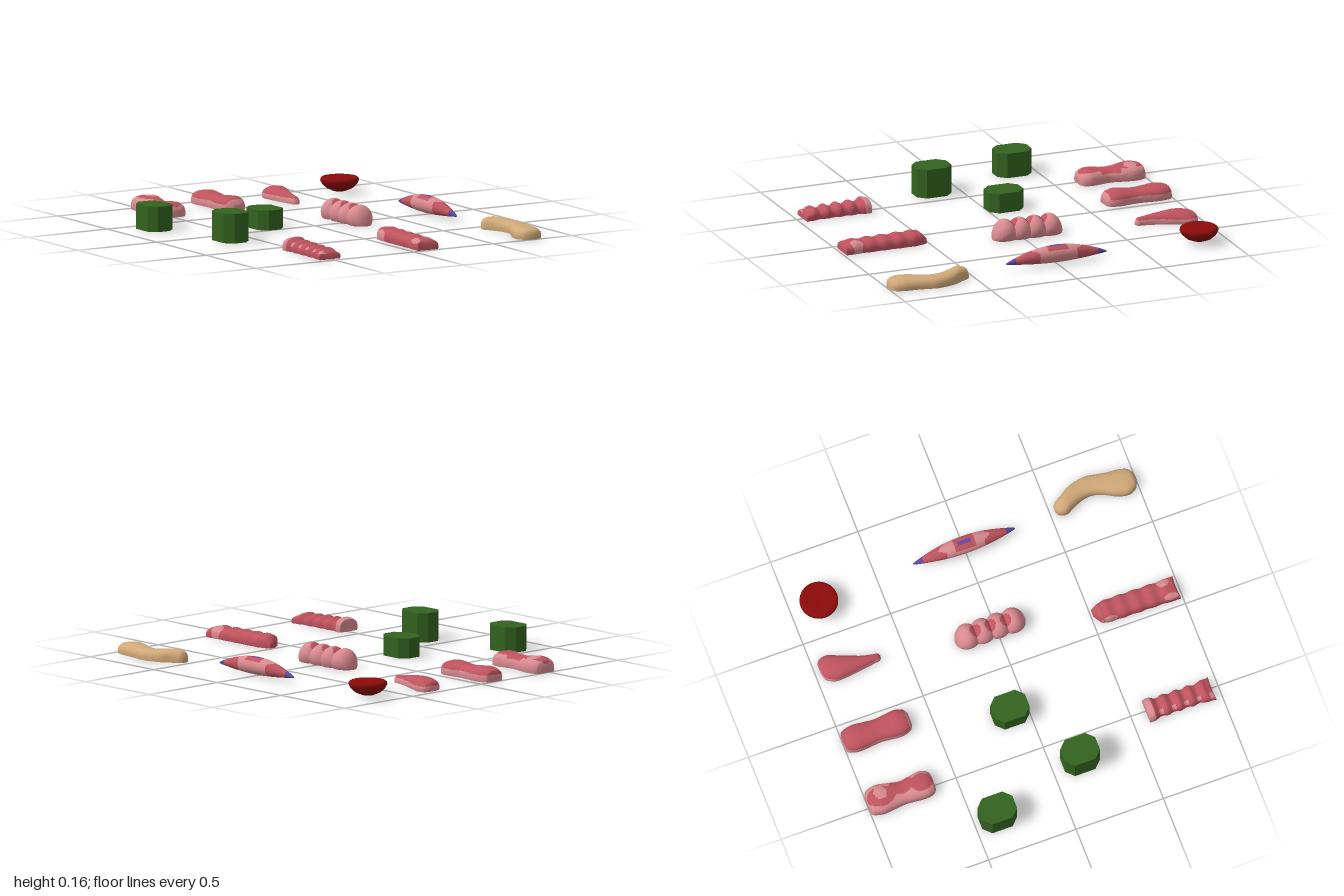
import * as THREE from 'three';
import { toCreasedNormals } from 'three/addons/utils/BufferGeometryUtils.js';

const mat = (name, color, side = THREE.FrontSide) => {
  const m = new THREE.MeshStandardMaterial({ color, side });
  m.name = name;
  return m;
};

// Lofts a body along z. Each section is [z, xCentre, halfWidth, height, baseY].
// cut: how far the outline wraps under the body; power: squareness of the outline;
// tail: pulls the corners of the far end out; paint(p): picks a material per face.
function loft(sections, { cut = 0.3, power = 2.6, tail = 0, steps = 72, around = 28, paint = () => 0 } = {}) {
  const place = new THREE.CatmullRomCurve3(
    sections.map(([z, x, w]) => new THREE.Vector3(x, w, z)), false, 'catmullrom');
  const rise = new THREE.CatmullRomCurve3(
    sections.map(([, , , h, b = 0]) => new THREE.Vector3(h, b, 0)), false, 'catmullrom');
  const bend = v => Math.sign(v) * Math.pow(Math.abs(v), 2 / power);
  const low = bend(Math.sin(cut));
  const rings = [];
  for (let i = 0; i <= steps; i++) {
    const t = i / steps, a = place.getPoint(t), b = rise.getPoint(t), ring = [];
    for (let j = 0; j <= around; j++) {
      const angle = -cut + (Math.PI + 2 * cut) * j / around;
      const c = bend(Math.cos(angle)), s = bend(Math.sin(angle));
      ring.push(new THREE.Vector3(
        a.x + a.y * c,
        b.y + b.x * (s + low) / (1 + low),
        a.z + tail * c * c * Math.pow(t, 10)));
    }
    rings.push(ring);
  }
  const lists = [[], [], []];
  const face = (p, q, r) => {
    const mid = new THREE.Vector3().add(p).add(q).add(r).divideScalar(3);
    const list = lists[paint(mid)];
    for (const v of [p, q, r]) list.push(v.x, v.y, v.z);
  };
  const n = around + 1;
  for (let i = 0; i < steps; i++) {
    for (let j = 0; j < n; j++) {
      const k = (j + 1) % n, A = rings[i], B = rings[i + 1];
      face(A[j], A[k], B[j]);
      face(A[k], B[k], B[j]);
    }
  }
  // end caps
  for (const [ring, flip] of [[rings[0], true], [rings[steps], false]]) {
    const centre = ring.reduce((s, v) => s.add(v), new THREE.Vector3()).divideScalar(n);
    for (let j = 0; j < n; j++) {
      const k = (j + 1) % n;
      face(centre, ring[flip ? k : j], ring[flip ? j : k]);
    }
  }
  let geo = new THREE.BufferGeometry();
  geo.setAttribute('position', new THREE.Float32BufferAttribute(lists.flat(), 3));
  geo = toCreasedNormals(geo, 0.9);
  let start = 0;
  lists.forEach((list, m) => {
    if (list.length) geo.addGroup(start, list.length / 3, m);
    start += list.length / 3;
  });
  return geo;
}

export function createModel() {
  const model = new THREE.Group();
  const dark = mat('deepPink', 0xbf535e), light = mat('palePink', 0xd98a8f);
  const purple = mat('purple', 0x6147a0), green = mat('green', 0x33621f);
  const red = mat('darkRed', 0x8c0a0a), tan = mat('tan', 0xd0a878);
  const pinks = [dark, light, purple];
  const add = (name, geo, material) => {
    const mesh = new THREE.Mesh(geo, material);
    mesh.name = name;
    model.add(mesh);
    return mesh;
  };
  const inSpot = (p, x, z, rx, rz) => ((p.x - x) / rx) ** 2 + ((p.z - z) / rz) ** 2 < 1;

  // green eight-sided blocks
  for (const [x, z, h] of [[-0.785, -0.37, 0.137], [-0.255, -0.1, 0.108], [-0.635, 0.16, 0.16]]) {
    const a = 0.079, b = 0.1, c = 0.042;
    const shape = new THREE.Shape([[a, c - b], [a, b - c], [a - c, b], [c - a, b],
      [-a, b - c], [-a, c - b], [c - a, -b], [a - c, -b]].map(p => new THREE.Vector2(...p)));
    const geo = new THREE.ExtrudeGeometry(shape, { depth: h, bevelEnabled: false });
    add('greenBlock', geo.rotateX(-Math.PI / 2).translate(x, 0, z), green);
  }

  // two lobed pieces
  add('patchedLobedPiece', loft([
    [-1, -0.48, 0.045, 0.045], [-0.985, -0.48, 0.068, 0.068], [-0.93, -0.48, 0.082, 0.08],
    [-0.87, -0.482, 0.074, 0.074], [-0.8, -0.485, 0.064, 0.066], [-0.74, -0.484, 0.07, 0.072],
    [-0.68, -0.482, 0.076, 0.076], [-0.64, -0.483, 0.064, 0.064], [-0.625, -0.483, 0.045, 0.045]],
  { paint: p => {
    if (p.y < 0.05 || inSpot(p, -0.46, -0.92, 0.04, 0.035)) return 1;
    return inSpot(p, -0.48, -0.92, 0.055, 0.08) || inSpot(p, -0.455, -0.8, 0.05, 0.07) ||
      inSpot(p, -0.48, -0.69, 0.05, 0.06) ? 0 : 1;
  } }), pinks);
  add('plainLobedPiece', loft([
    [-0.998, -0.107, 0.04, 0.04], [-0.985, -0.107, 0.06, 0.062], [-0.93, -0.107, 0.074, 0.074],
    [-0.87, -0.107, 0.07, 0.07], [-0.8, -0.107, 0.064, 0.065], [-0.74, -0.107, 0.07, 0.07],
    [-0.68, -0.106, 0.074, 0.075], [-0.635, -0.106, 0.06, 0.062], [-0.618, -0.106, 0.04, 0.04]],
  { paint: p => (p.y < 0.038 || p.z > -0.635 ? 1 : 0) }), pinks);

  // tapering drumstick
  add('taperedPiece', loft([
    [-0.97, 0.335, 0.03, 0.03], [-0.955, 0.323, 0.06, 0.05], [-0.91, 0.315, 0.076, 0.062],
    [-0.86, 0.305, 0.067, 0.065], [-0.8, 0.297, 0.052, 0.06], [-0.74, 0.289, 0.036, 0.052],
    [-0.68, 0.287, 0.024, 0.044], [-0.65, 0.287, 0.021, 0.038], [-0.638, 0.287, 0.01, 0.02]],
  { power: 2.2, paint: p => (p.y < 0.03 ? 1 : 0) }), pinks);

  // shallow red dish
  const dish = [[0, 0.008], [0.035, 0.012], [0.07, 0.027], [0.093, 0.048], [0.104, 0.068],
    [0.103, 0.08], [0.095, 0.087], [0.08, 0.088], [0.05, 0.084], [0, 0.081]];
  add('redDish', new THREE.LatheGeometry(dish.map(p => new THREE.Vector2(...p)), 40)
    .translate(0.682, 0, -0.842), red);

  // four joined beads
  const beads = [];
  for (let i = 0; i <= 64; i++) {
    const z = -0.234 + 0.398 * i / 64;
    let r = 0.012;
    for (let k = 0; k < 4; k++) {
      r = Math.max(r, Math.sqrt(Math.max(0, 0.0049 - (z + 0.165 - 0.0867 * k) ** 2)));
    }
    beads.push([z, 0.222, r, r * 1.55, 0]);
  }
  add('beadedPiece', loft(beads, { cut: 0.6, power: 2, steps: 96, paint: p =>
    (p.y > 0.06 && [-0.12, -0.034, 0.053].some(z => inSpot(p, 0.222, z, 0.035, 0.03)) ? 0 : 1) }), pinks);

  // pointed spindle with purple tips
  add('spindle', loft([-1, -0.92, -0.8, -0.6, -0.4, -0.2, 0, 0.2, 0.4, 0.6, 0.8, 0.92, 1].map(u => {
    const r = 0.004 + 0.044 * Math.pow(Math.cos(u * Math.PI / 2), 0.9);
    return [u * 0.29, 0.712, r, r * 2, 0.055 - 0.024 * u * u - r];
  }), { cut: Math.PI / 2, power: 2, steps: 84, paint: p => {
    const z = Math.abs(p.z), x = Math.abs(p.x - 0.712);
    if (z > 0.24 || (z < 0.036 && x < 0.012 && p.y > 0.07)) return 2;
    if (p.y > 0.082 && z < 0.06) return 0;
    return z < 0.125 + 0.02 * Math.sin(p.x * 90) ? 1 : 0;
  } }), pinks);

  // ribbed pieces with a flared end
  const ribbed = (z0, z1, x, width, height, ribs, depth) => {
    const list = [];
    for (let i = 0; i <= ribs * 6; i++) {
      const t = i / (ribs * 6), wave = -Math.cos(t * ribs * Math.PI * 2);
      list.push([z0 + (z1 - z0) * t, x(t), width(t) + depth * 0.5 * wave, height(t) + depth * wave]);
    }
    return list;
  };
  add('ribbedPiece', loft(ribbed(0.585, 0.945, () => -0.508,
    t => 0.054 + 0.013 * Math.exp(-((t / 0.1) ** 2)) + 0.017 * Math.pow(t, 14),
    t => 0.062 + 0.012 * Math.exp(-((t / 0.1) ** 2)) - 0.012 * t, 5, 0.008),
  { tail: 0.018, steps: 100, paint: p =>
    (p.z < 0.62 || (p.y > 0.03 && p.x < -0.535 && Math.sin(p.z * 88) > 0.5) ? 1 : 0) }), pinks);
  add('longRibbedPiece', loft([[0.512, 0.12, 0.018, 0.03],
    ...ribbed(0.545, 0.965, t => 0.102 - 0.004 * t,
      t => 0.061 + 0.006 * Math.pow(t, 10) - 0.008 * Math.exp(-((t / 0.08) ** 2)),
      t => 0.067 - 0.008 * t, 5, 0.004)],
  { tail: 0.022, steps: 100, paint: p =>
    (inSpot(p, 0.14, 0.92, 0.03, 0.035) || inSpot(p, 0.05, 0.94, 0.015, 0.04) ||
      inSpot(p, 0.045, 0.58, 0.012, 0.05) ? 1 : 0) }), pinks);

  // curved tan bean
  add('tanBean', loft([
    [0.53, 0.745, 0.018, 0.03], [0.545, 0.743, 0.036, 0.055], [0.585, 0.749, 0.052, 0.068],
    [0.63, 0.775, 0.056, 0.066], [0.69, 0.798, 0.054, 0.06], [0.75, 0.805, 0.055, 0.058],
    [0.81, 0.79, 0.059, 0.058], [0.87, 0.77, 0.07, 0.06], [0.93, 0.76, 0.075, 0.06],
    [0.975, 0.76, 0.06, 0.053], [0.993, 0.76, 0.035, 0.04], [1, 0.76, 0.012, 0.02]],
  { cut: 0.2 }), [tan]);

  return model;
}
